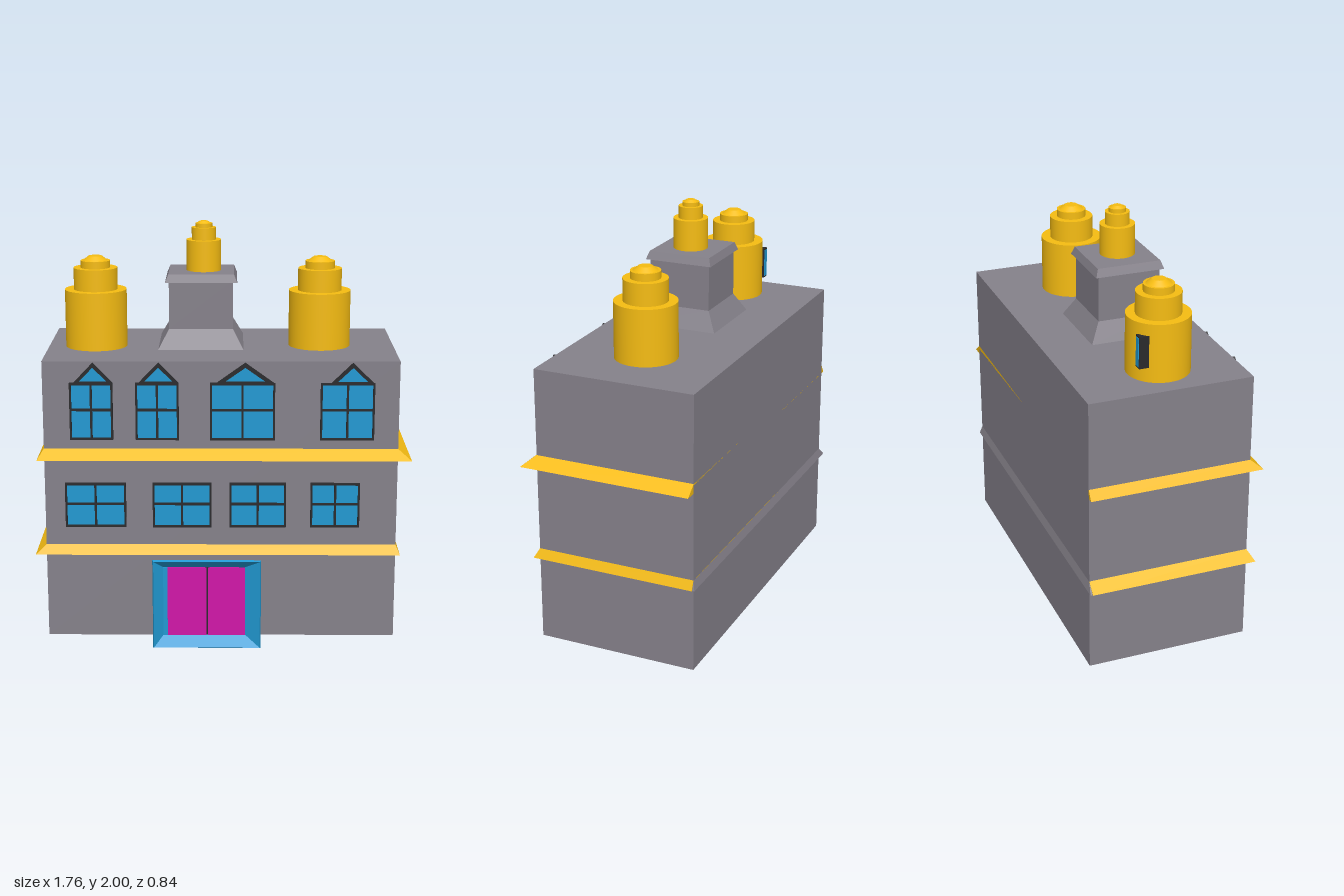
import * as THREE from 'three';

const mat = (color, side = THREE.FrontSide) => new THREE.MeshStandardMaterial({ color, side });
const WALL = mat(0x85818a), GOLD = mat(0xf5bc12), BLUE = mat(0x2199d2, THREE.DoubleSide);
const DARK = mat(0x2a2a2c), PINK = mat(0xd016a8);
const FRONT = 0.365, BACK = -0.413;

function add(parent, name, geometry, material) {
  const mesh = new THREE.Mesh(geometry, material);
  mesh.name = name;
  parent.add(mesh);
  return mesh;
}

// Box given by its limits
function block(x0, x1, y0, y1, z0, z1) {
  return new THREE.BoxGeometry(x1 - x0, y1 - y0, z1 - z0)
    .translate((x0 + x1) / 2, (y0 + y1) / 2, (z0 + z1) / 2);
}

// Tapered block between two rectangles [x0, x1, z0, z1]
function taper(bottom, y0, top, y1) {
  const g = new THREE.BoxGeometry(1, 1, 1);
  const p = g.attributes.position;
  for (let i = 0; i < p.count; i++) {
    const up = p.getY(i) > 0;
    const r = up ? top : bottom;
    p.setXYZ(i, p.getX(i) < 0 ? r[0] : r[1], up ? y1 : y0, p.getZ(i) < 0 ? r[2] : r[3]);
  }
  g.computeVertexNormals();
  return g;
}

function polygon(points) {
  return new THREE.Shape(points.map(([x, y]) => new THREE.Vector2(x, y)));
}

const rect = (x0, x1, y0, y1) => [[x0, y0], [x1, y0], [x1, y1], [x0, y1]];

function extrude(shape, z, depth) {
  return new THREE.ExtrudeGeometry(shape, { depth, bevelEnabled: false }).translate(0, 0, z);
}

// Four-pane window: dark frame with holes over a blue pane
function makeWindow(x0, x1, y0, y1) {
  const g = new THREE.Group();
  g.name = 'window';
  const e = 0.009, m = 0.005, cx = (x0 + x1) / 2, cy = y0 + (y1 - y0) * 0.53;
  const frame = polygon(rect(x0, x1, y0, y1));
  for (const [a, b] of [[x0 + e, cx - m], [cx + m, x1 - e]])
    for (const [c, d] of [[y0 + e, cy - m], [cy + m, y1 - e]])
      frame.holes.push(polygon(rect(a, b, c, d)));
  add(g, 'windowFrame', extrude(frame, FRONT, 0.018), DARK);
  add(g, 'windowPane', block(x0 + 0.004, x1 - 0.004, y0 + 0.004, y1 - 0.004, FRONT, FRONT + 0.008), BLUE);
  return g;
}

// Triangular light above an upper window
function makePediment(x0, x1, y0, y1) {
  const g = new THREE.Group();
  g.name = 'pediment';
  const cx = (x0 + x1) / 2, w = (x1 - x0) / 2;
  const inner = [[cx - w * 0.72, y0 + 0.007], [cx + w * 0.72, y0 + 0.007], [cx, y1 - 0.021]];
  const frame = polygon([[x0, y0], [x1, y0], [cx, y1]]);
  frame.holes.push(polygon(inner));
  add(g, 'pedimentFrame', extrude(frame, FRONT, 0.018), DARK);
  add(g, 'pedimentPane', extrude(polygon(inner), FRONT, 0.008), BLUE);
  return g;
}

// Stepped round turret: steps are [bottom radius, top radius, height at top]
function makeTurret(name, x, z, base, steps) {
  const g = new THREE.Group();
  g.name = name;
  let y = base;
  for (const [r0, r1, top] of steps) {
    add(g, 'turretTier', new THREE.CylinderGeometry(r1, r0, top - y, 48), GOLD)
      .position.set(x, (y + top) / 2, z);
    y = top;
  }
  return g;
}

// Thin flared surround: rectangles [x0, x1, y0, y1, z] joined in order
function flare(rings) {
  const pos = [], idx = [];
  for (let s = 0; s < rings.length - 1; s++) {
    for (let k = 0; k < 4; k++) {
      const b = pos.length / 3;
      for (const [r, c] of [[s, k], [s, (k + 1) % 4], [s + 1, (k + 1) % 4], [s + 1, k]]) {
        const [x0, x1, y0, y1, z] = rings[r];
        const [x, y] = rect(x0, x1, y0, y1)[c];
        pos.push(x, y, z);
      }
      idx.push(b, b + 1, b + 2, b, b + 2, b + 3);
    }
  }
  const g = new THREE.BufferGeometry();
  g.setAttribute('position', new THREE.Float32BufferAttribute(pos, 3));
  g.setIndex(idx);
  g.computeVertexNormals();
  return g;
}

export function createModel() {
  const model = new THREE.Group();
  model.name = 'building';

  // Main body
  add(model, 'walls', block(-0.83, 0.82, 0.057, 1.4, BACK, FRONT), WALL);

  // Ledges, flush with the wall on top and flared below
  const wallRect = [-0.83, 0.82, BACK, FRONT];
  add(model, 'lowerLedge', taper([-0.88, 0.84, BACK, 0.39], 0.47, wallRect, 0.515), GOLD);
  add(model, 'lowerLedgeBack', taper([-0.875, 0.835, -0.424, -0.4], 0.47, [-0.83, 0.82, BACK, -0.4], 0.513), WALL);
  add(model, 'upperLedge', taper([-0.86, 0.88, BACK, 0.42], 0.94, wallRect, 0.985), GOLD);

  // Windows
  for (const [a, b] of [[-0.735, -0.45], [-0.325, -0.05], [0.035, 0.3], [0.415, 0.645]])
    model.add(makeWindow(a, b, 0.605, 0.82));
  for (const [a, b, c, d] of [
    [-0.705, -0.505, -0.685, -0.505], [-0.4, -0.2, -0.385, -0.2],
    [-0.055, 0.245, -0.025, 0.24], [0.455, 0.705, 0.505, 0.7]]) {
    model.add(makeWindow(a, b, 1.03, 1.3));
    model.add(makePediment(c, d, 1.3, 1.395));
  }

  // Entrance: flared surround, two doors and the floor strip beneath
  const entrance = new THREE.Group();
  entrance.name = 'entrance';
  model.add(entrance);
  add(entrance, 'doorSurround', flare([
    [-0.28, 0.11, 0.057, 0.4, FRONT], [-0.325, 0.18, 0.006, 0.44, 0.405],
    [-0.33, 0.185, 0, 0.445, 0.392], [-0.285, 0.115, 0.05, 0.4, FRONT]]), BLUE);
  add(entrance, 'doorPost', block(-0.28, -0.26, 0.057, 0.4, FRONT, FRONT + 0.006), BLUE);
  add(entrance, 'doorGap', block(-0.08, -0.06, 0.057, 0.4, FRONT, FRONT + 0.002), DARK);
  for (const [a, b] of [[-0.26, -0.074], [-0.067, 0.11]])
    add(entrance, 'door', block(a, b, 0.057, 0.4, FRONT, FRONT + 0.005), PINK);
  add(entrance, 'floorStrip', block(-0.11, 0.14, 0.053, 0.06, BACK + 0.01, FRONT), BLUE);

  // Roof block with flared foot and cap
  const roofBlock = new THREE.Group();
  roofBlock.name = 'roofBlock';
  model.add(roofBlock);
  const shaft = [-0.25, 0.05, -0.147, 0.153];
  add(roofBlock, 'roofBlockFoot', taper([-0.3, 0.1, -0.197, 0.203], 1.42, shaft, 1.51), WALL);
  add(roofBlock, 'roofBlockShaft', block(-0.25, 0.05, 1.51, 1.74, -0.147, 0.153), WALL);
  add(roofBlock, 'roofBlockCap', taper([-0.268, 0.07, -0.163, 0.168], 1.73, [-0.252, 0.055, -0.15, 0.155], 1.768), WALL);

  // Turrets
  model.add(makeTurret('rightTurret', -0.604, 0, 1.4,
    [[0.147, 0.147, 1.675], [0.104, 0.104, 1.778], [0.07, 0.07, 1.812], [0.058, 0.032, 1.833]]));
  model.add(makeTurret('leftTurret', 0.465, -0.02, 1.4,
    [[0.147, 0.147, 1.668], [0.104, 0.104, 1.773], [0.07, 0.07, 1.808], [0.058, 0.032, 1.828]]));
  model.add(makeTurret('middleTurret', -0.088, 0.007, 1.765,
    [[0.082, 0.082, 1.913], [0.057, 0.057, 1.971], [0.04, 0.04, 1.99], [0.034, 0.02, 2]]));

  // Slit window on the back of the right turret
  add(model, 'slitFrame', block(-0.72, -0.68, 1.47, 1.62, -0.136, -0.09), DARK);
  add(model, 'slitPane', block(-0.714, -0.686, 1.477, 1.613, -0.139, -0.13), BLUE);

  return model;
}
